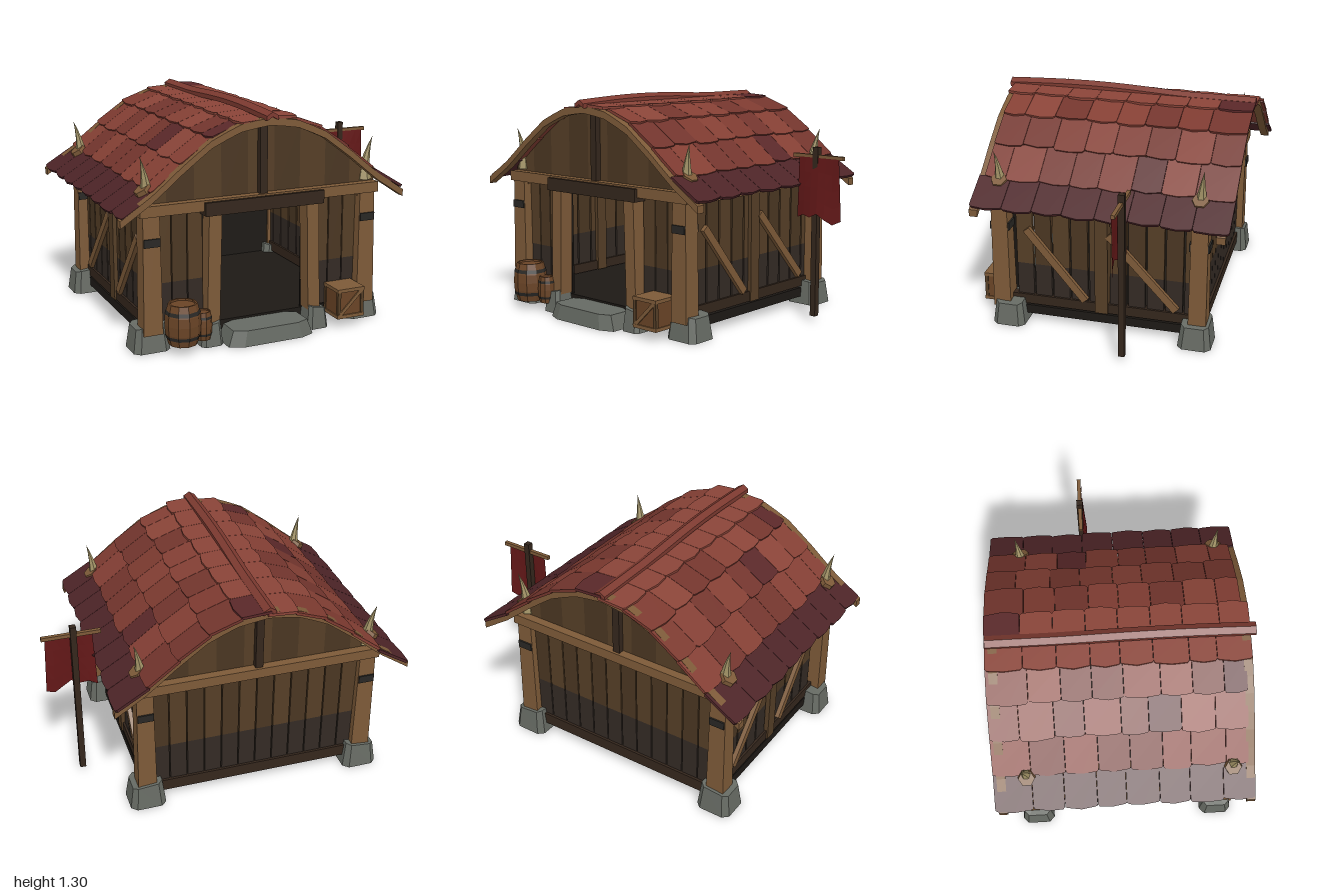
import * as THREE from 'three';

const CX = -0.14; // middle of the hut in x
const C = {
  wood: 0x7d5a38, plank: 0x553e26, plank2: 0x4a3622, low: 0x332a24, dark: 0x34261c, inner: 0x1d1915,
  stone: 0x666a63, iron: 0x292724, horn: 0xa39467, cloth: 0x641818, eave: 0x4d2427, barrel: 0x6a4426,
};
const TILES = [0x7d3a30, 0x8a4438, 0x73352d, 0x843f34, 0x5a2829];
const mats = {};
const mat = (color) => (mats[color] ??= new THREE.MeshStandardMaterial({ color, flatShading: true, side: THREE.DoubleSide }));

// half roof profile: distance from the ridge, height
const PROFILE = [[0, 1.265], [0.16, 1.245], [0.33, 1.175], [0.5, 1.05], [0.67, 0.91], [0.86, 0.785]];
function roofY(x) {
  const d = Math.abs(x - CX);
  let i = 0;
  while (i < 4 && d > PROFILE[i + 1][0]) i++;
  const [a, b] = [PROFILE[i], PROFILE[i + 1]];
  return a[1] + (b[1] - a[1]) * (d - a[0]) / (b[0] - a[0]);
}

let seed = 7;
const rnd = () => (seed = (seed * 16807) % 2147483647) / 2147483647;

export function createModel() {
  const root = new THREE.Group();
  const group = (name) => {
    const g = new THREE.Group();
    g.name = name;
    root.add(g);
    return g;
  };
  const add = (parent, name, geo, color, x = 0, y = 0, z = 0) => {
    const m = new THREE.Mesh(geo, mat(color));
    m.name = name;
    m.position.set(x, y, z);
    parent.add(m);
    return m;
  };
  // box given by its limits
  const box = (p, name, color, x0, x1, y0, y1, z0, z1) =>
    add(p, name, new THREE.BoxGeometry(x1 - x0, y1 - y0, z1 - z0), color, (x0 + x1) / 2, (y0 + y1) / 2, (z0 + z1) / 2);
  const extrude = (pts, depth) =>
    new THREE.ExtrudeGeometry(new THREE.Shape(pts.map((p) => new THREE.Vector2(...p))), { depth, bevelEnabled: false });
  const reshape = (geo, fn) => {
    const p = geo.attributes.position, v = new THREE.Vector3();
    for (let i = 0; i < p.count; i++) {
      fn(v.fromBufferAttribute(p, i));
      p.setXYZ(i, v.x, v.y, v.z);
    }
    geo.computeVertexNormals();
    return geo;
  };
  // tapered block with chamfered corners, hollow underneath, top sloping by tilt
  const stone = (p, name, w, h, d, x, z, taper, tilt = 0) => {
    const pts = [[0.35, 0.6], [0.38, 0], [1, 0], [1, 1], [0, 1]];
    const g = new THREE.LatheGeometry(pts.map((q) => new THREE.Vector2(...q)), 8);
    g.rotateY(Math.PI / 8);
    reshape(g, (v) => {
      const k = 1 + (taper - 1) * v.y, q = (t) => THREE.MathUtils.clamp(t * 0.9, -0.5, 0.5) * k;
      v.set(q(v.x) * w, v.y * (h + v.x * tilt), q(v.z) * d);
    });
    return add(p, name, g, C.stone, x, 0, z);
  };

  // floor
  const floor = group('floor');
  box(floor, 'floorSlab', C.inner, -0.79, 0.51, 0.045, 0.1, -0.58, 0.56);

  // corner posts with stone feet and iron bands
  const posts = group('cornerPosts');
  for (const s of [-1, 1]) for (const z of [0.58, -0.59]) {
    const x = CX + s * 0.66;
    const g = reshape(new THREE.BoxGeometry(0.11, 0.72, 0.105), (v) => { if (v.y > 0) { v.x *= 0.85; v.z *= 0.9; } });
    add(posts, 'post', g, C.wood, x, 0.46, z);
    box(posts, 'ironBand', C.iron, x - 0.046, x + 0.046, 0.595, 0.64, z - 0.058, z + 0.058);
    stone(posts, 'postFoot', 0.21, 0.145, 0.195, x, z > 0 ? 0.535 : -0.58, 0.82, s * -0.014);
  }

  // wall boards: a darker damp lower part and a lighter upper part
  const board = (p, x0, x1, z0, z1, i) => {
    box(p, 'boardLower', C.low, x0, x1, 0.11, 0.37, z0, z1);
    box(p, 'boardUpper', i % 2 ? C.plank2 : C.plank, x0, x1, 0.37, 0.76, z0, z1);
  };

  // side walls, open slits between the boards
  for (const s of [-1, 1]) {
    const side = group(s > 0 ? 'leftWall' : 'rightWall');
    const x = CX + s * 0.64;
    for (let i = 0; i < 5; i++) for (const z of [0.498 - i * 0.11, -0.064 - i * 0.11])
      board(side, x - 0.012, x + 0.012, z - 0.099, z, i);
    const xi = x - 0.025, xo = x + 0.025;
    box(side, 'sill', C.dark, xi, xo, 0.11, 0.17, -0.54, 0.54);
    box(side, 'groundBeam', C.inner, xi, xo, 0.045, 0.1, -0.5, 0.46);
    box(side, 'topBeam', C.wood, xi - 0.01, xo + 0.01, 0.74, 0.81, -0.6, 0.6);
    box(side, 'middlePost', C.plank, x - 0.035, x + 0.035, 0.11, 0.77, -0.055, 0.022);
    for (const [za, ya, zb, yb] of [[0.43, 0.6, 0.08, 0.18], [-0.06, 0.62, -0.46, 0.19]]) {
      const b = add(side, 'brace', new THREE.BoxGeometry(0.025, 0.045, Math.hypot(za - zb, ya - yb)), C.wood,
        x + s * 0.027, (ya + yb) / 2, (za + zb) / 2);
      b.rotation.x = -Math.atan2(ya - yb, za - zb);
    }
  }

  // back wall
  const back = group('backWall');
  for (let i = 0; i < 12; i++) {
    const x = CX - 0.62 + i * 0.1035;
    board(back, x, x + 0.097, -0.6, -0.575, i);
  }
  box(back, 'lining', C.inner, CX - 0.62, CX + 0.62, 0.1, 0.78, -0.57, -0.555);
  box(back, 'sill', C.dark, CX - 0.62, CX + 0.62, 0.06, 0.13, -0.615, -0.56);

  // front wall on both sides of the doorway
  const front = group('frontWall');
  for (const s of [-1, 1]) {
    for (let i = 0; i < 3; i++) {
      const x = CX + s * (0.575 - i * 0.092);
      board(front, x - 0.043, x + 0.043, 0.55, 0.575, i);
    }
    const c = CX + s * 0.45;
    box(front, 'lining', C.inner, c - 0.175, c + 0.175, 0.1, 0.78, 0.535, 0.548);
    const jamb = add(front, 'doorPost', new THREE.BoxGeometry(0.075, 0.63, 0.09), C.wood, CX + s * 0.305, 0.425, 0.6);
    jamb.rotation.z = s * 0.025;
    stone(front, 'doorPostFoot', 0.13, 0.125, 0.15, CX + s * 0.33, 0.61, 0.8, s * -0.014);
  }
  box(front, 'lintel', C.dark, CX - 0.36, CX + 0.36, 0.735, 0.81, 0.57, 0.66);
  stone(front, 'doorstep', 0.52, 0.088, 0.22, CX, 0.655, 0.88);

  // gables, made of upright strips cut to the roof curve
  for (const s of [-1, 1]) {
    const gable = group(s > 0 ? 'frontGable' : 'backGable');
    const z = s > 0 ? 0.56 : -0.6;
    for (let i = 0; i < 9; i++) {
      const a = CX - 0.72 + i * 0.16, pts = [[a, 0.78], [a + 0.16, 0.78]];
      for (let k = 4; k >= 0; k--) pts.push([a + 0.04 * k, roofY(a + 0.04 * k) - 0.035]);
      add(gable, 'gableBoard', extrude(pts, 0.03), i % 2 ? C.plank2 : C.plank, 0, 0, z);
    }
    const zf = s > 0 ? 0.6 : -0.61;
    box(gable, 'crossBeam', C.wood, CX - 0.725, CX + 0.725, 0.76, 0.82, zf - 0.04, zf + 0.04);
    box(gable, 'kingPost', C.dark, CX - 0.022, CX + 0.022, 0.82, 1.21, zf - 0.025, zf + 0.025);
    // curved edge board
    const up = [], down = [];
    for (let i = 0; i <= 20; i++) {
      const x = CX - 0.855 + i * 0.0855;
      up.push([x, roofY(x) - 0.014]);
      down.unshift([x, roofY(x) - 0.055]);
    }
    add(gable, 'edgeBoard', extrude([...up, ...down], 0.05), C.wood, 0, 0, s > 0 ? 0.65 : -0.755);
  }

  // shingles: five rows on each slope, lower edges uneven and lapping over
  const roof = group('roofShingles');
  for (const s of [-1, 1]) for (let r = 0; r < 5; r++) {
    const [d0, y0] = PROFILE[r], [d1, y1] = PROFILE[r + 1];
    const D = new THREE.Vector3(s * (d1 - d0), y1 + 0.01 - y0, 0), len = D.length();
    D.normalize();
    const N = new THREE.Vector3(-s * D.y, s * D.x, 0), U = new THREE.Vector3().crossVectors(D, N);
    const start = r % 4 ? 0.665 : 0.7, cuts = [start];
    for (let z = start - (r % 2 ? 0.13 : 0.18); z > -0.68; z -= 0.18) cuts.push(z + (rnd() - 0.5) * 0.03);
    cuts.push(-0.775);
    for (let i = 0; i < cuts.length - 1; i++) {
      const w = (cuts[i] - cuts[i + 1]) / 2 - 0.001, l = len + (r < 4 ? 0.005 : -0.016) + rnd() * 0.016;
      const side = () => l - 0.004 - rnd() * 0.01;
      const g = extrude([[-w, -0.01], [w, -0.01], [w, l - 0.018], [w * 0.88, side()], [0, l], [-w * 0.88, side()], [-w, l - 0.018]], 0.016);
      g.translate(0, 0, s * 0.008 - 0.008); // same thickness below the slope on both sides
      g.applyMatrix4(new THREE.Matrix4().makeBasis(U, D, N));
      const color = r === 4 ? C.eave : rnd() < 0.12 ? TILES[4] : r === 0 ? TILES[1] : TILES[Math.floor(rnd() * 4)];
      add(roof, 'shingle', g, color, CX + s * d0, y0 - 0.018, (cuts[i] + cuts[i + 1]) / 2);
    }
  }
  // ridge cap, gently bowed along its length
  const cap = reshape(new THREE.BoxGeometry(0.07, 0.026, 1.5, 2, 1, 12), (v) => {
    v.y += 0.012 - Math.abs(v.x) * 0.6 + 0.014 * Math.max(-0.5, Math.cos((v.z - 0.25) * 3.6));
  });
  add(roof, 'ridgeCap', cap, TILES[0], CX, 1.265, -0.02);

  // curved horns near the eaves
  const horns = group('roofHorns');
  for (const s of [-1, 1]) for (const z of [0.575, -0.585]) {
    const g = reshape(new THREE.ConeGeometry(0.043, 0.25, 6, 5), (v) => {
      const t = (v.y + 0.125) / 0.25;
      v.x += s * (0.04 * t * t - 0.005);
      v.z += 0.02 * t * t * Math.sign(z);
    });
    add(horns, 'horn', g, C.horn, CX + s * 0.67, 0.955, z);
    const c = add(horns, 'hornCollar', new THREE.CylinderGeometry(0.047, 0.052, 0.035, 6), C.wood, CX + s * 0.685, 0.895, z);
    c.rotation.z = -s * 0.6;
  }

  // banner on a pole
  const banner = group('banner');
  box(banner, 'pole', C.dark, 0.8, 0.835, 0.03, 1.015, -0.233, -0.197);
  box(banner, 'crossbar', C.wood, 0.66, 1, 0.95, 0.972, -0.225, -0.203);
  const hem = [0.6, 0.62, 0.61, 0.635, 0.605, 0.58, 0.605];
  const cloth = reshape(new THREE.PlaneGeometry(1, 1, 6, 4), (v) => {
    const t = 0.5 - v.y, k = Math.round((v.x + 0.5) * 6);
    v.set(0.842 + v.x * (0.27 + 0.03 * t), 0.955 + (hem[k] - 0.955) * t, -0.2 + 0.02 * t * Math.cos(v.x * 4));
  });
  add(banner, 'cloth', cloth, C.cloth);

  // barrels
  const barrel = (x, z, r, y0, h) => {
    const b = group('barrel');
    b.position.set(x, y0, z);
    const pts = [[0, 0], [0.8, 0], [0.97, 0.28], [1, 0.5], [0.97, 0.72], [0.8, 1], [0.7, 1], [0.7, 0.95], [0, 0.95]];
    add(b, 'staves', new THREE.LatheGeometry(pts.map(([a, y]) => new THREE.Vector2(a * r, y * h)), 10), C.barrel);
    for (const t of [0.2, 0.8])
      add(b, 'hoop', new THREE.CylinderGeometry(r * (t < 0.5 ? 0.98 : 0.92), r * (t < 0.5 ? 0.92 : 0.98), h * 0.09, 10, 1, true), C.iron, 0, t * h, 0);
  };
  barrel(-0.65, 0.68, 0.1, 0.052, 0.23);
  barrel(-0.525, 0.66, 0.052, 0.05, 0.16);

  // crate with edge battens and a diagonal
  const crate = group('crate');
  crate.position.set(0.365, 0.147, 0.655);
  add(crate, 'crateBody', new THREE.BoxGeometry(0.16, 0.165, 0.15), C.barrel);
  for (const s of [-1, 1]) {
    add(crate, 'rim', new THREE.BoxGeometry(0.174, 0.02, 0.168), C.wood, 0, s * 0.078, 0);
    for (const z of [-1, 1]) add(crate, 'cornerBatten', new THREE.BoxGeometry(0.02, 0.16, 0.02), C.plank, s * 0.075, 0, z * 0.072);
    const d = add(crate, 'diagonal', new THREE.BoxGeometry(0.2, 0.02, 0.012), C.wood, 0, 0, s * 0.077);
    d.rotation.z = 0.78;
  }
  return root;
}
